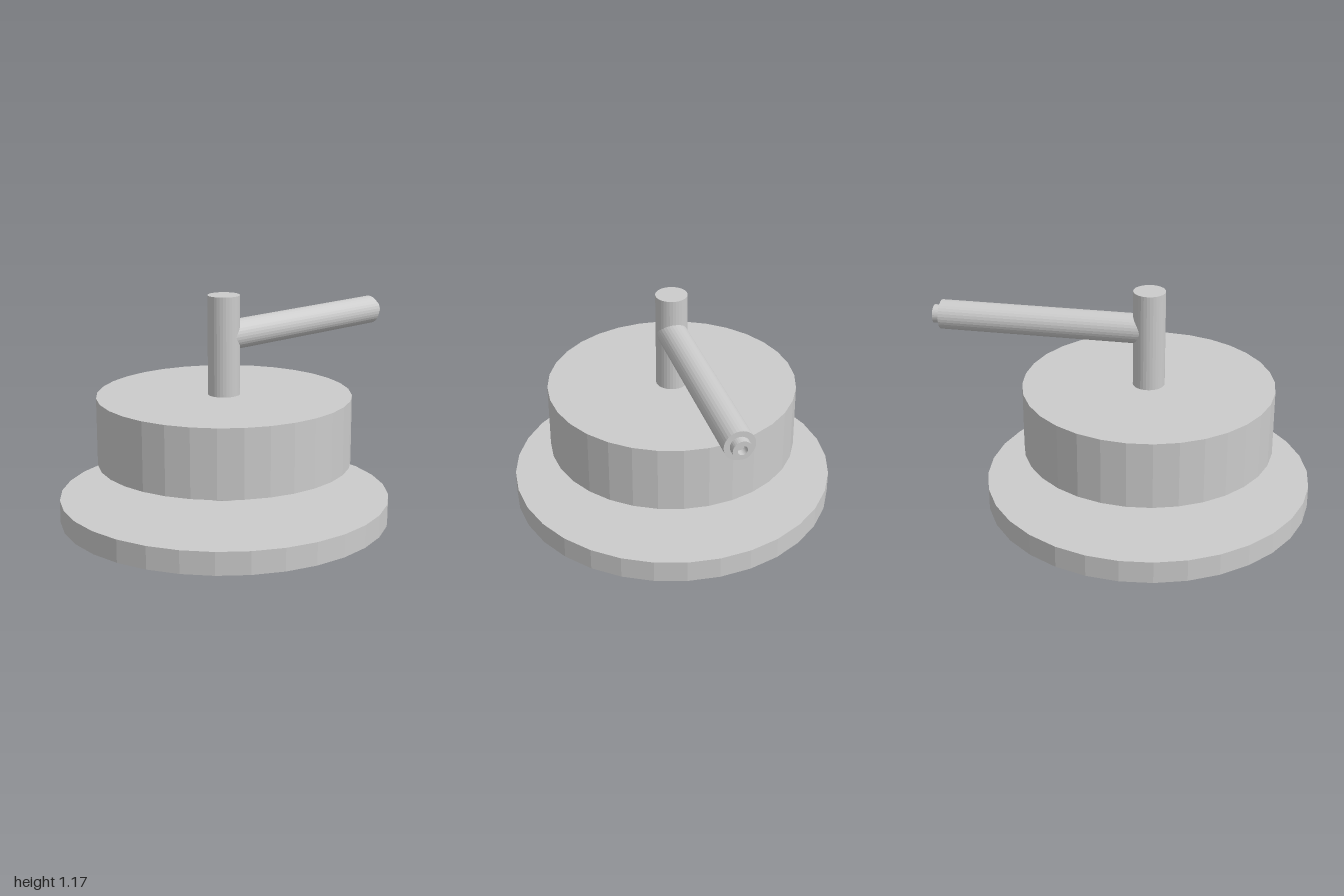
import * as THREE from 'three';

const SIDES = 32;
const AXIS_X = -0.14;

export function createModel() {
  const model = new THREE.Group();
  model.name = 'pedestalWithArm';
  const material = new THREE.MeshStandardMaterial({ color: 0xcccccc, flatShading: true });

  // Upright stack: name, radius, bottom, top
  const stack = [
    ['base', 0.858, 0, 0.118],
    ['neck', 0.143, 0.118, 0.3],
    ['drum', 0.657, 0.3, 0.653],
    ['post', 0.083, 0.653, 1.168],
  ];
  for (const [name, radius, bottom, top] of stack) {
    const mesh = new THREE.Mesh(new THREE.CylinderGeometry(radius, radius, top - bottom, SIDES), material);
    mesh.name = name;
    mesh.position.set(AXIS_X, (bottom + top) / 2, 0);
    model.add(mesh);
  }

  // Side arm with a stepped, hollow nozzle at its end (radius, distance from post axis)
  const profile = [
    [0, 0], [0.077, 0], [0.077, 1.1], [0.048, 1.1],
    [0.048, 1.14], [0.024, 1.14], [0.024, 1.1], [0, 1.1],
  ].map(([r, d]) => new THREE.Vector2(r, d));
  const arm = new THREE.Mesh(new THREE.LatheGeometry(profile, SIDES), material);
  arm.name = 'armWithNozzle';
  arm.rotation.z = -Math.PI / 2;
  arm.position.set(AXIS_X, 0.957, 0.005);
  model.add(arm);

  return model;
}
